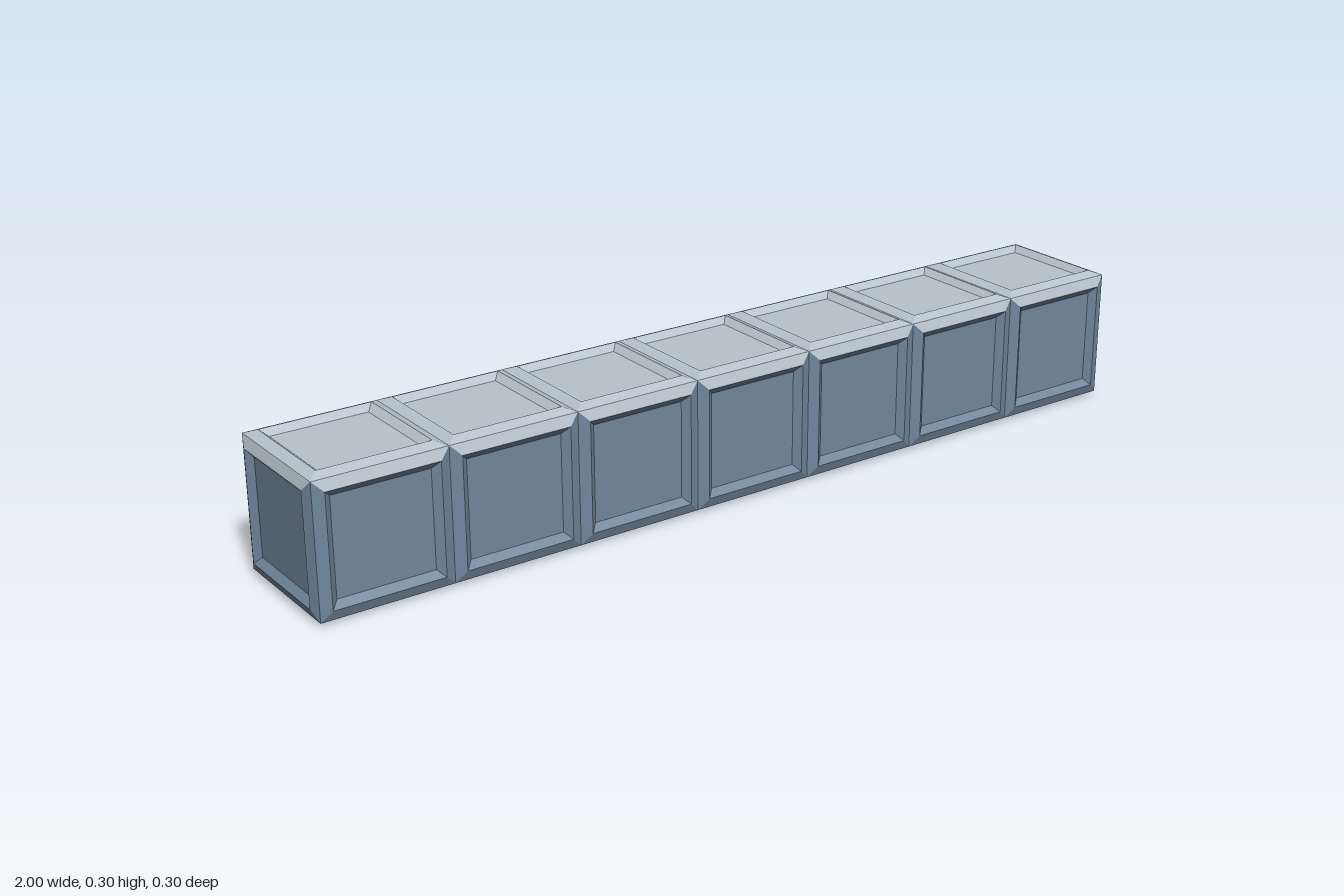
import * as THREE from 'three';

const CELLS = 7;
const HALF = 0.1415;          // half the cell size, measured to its edges
const CENTER_Y = 0.1505;
// nested square outlines of one face: [half width, distance from cell centre]
const RINGS = [[HALF, HALF], [0.119, 0.1505], [0.104, 0.1375]];

const corners = ([h, z]) => [[-h, -h, z], [h, -h, z], [h, h, z], [-h, h, z]];

// one framed, recessed face looking along +z; group 1 is the upper outer bevel
function faceGeometry() {
  const positions = [];
  const quad = (a, b, c, d) => positions.push(...a, ...b, ...c, ...a, ...c, ...d);
  const geometry = new THREE.BufferGeometry();
  const rings = RINGS.map(corners);
  for (let r = 0; r < 2; r++) {
    for (let i = 0; i < 4; i++) {
      const j = (i + 1) % 4;
      geometry.addGroup(positions.length / 3, 6, r === 0 && i === 2 ? 1 : 0);
      quad(rings[r][i], rings[r][j], rings[r + 1][j], rings[r + 1][i]);
    }
  }
  geometry.addGroup(positions.length / 3, 6, 0);
  quad(...rings[2]);
  geometry.setAttribute('position', new THREE.Float32BufferAttribute(positions, 3));
  geometry.computeVertexNormals();
  return geometry;
}

export function createModel() {
  const model = new THREE.Group();
  model.name = 'segmentedBeam';

  const slate = new THREE.MeshStandardMaterial({ color: 0x71869c });
  slate.name = 'slateBlue';
  const pale = new THREE.MeshStandardMaterial({ color: 0xb6c2cc });
  pale.name = 'paleGrey';

  const geometry = faceGeometry();
  const addFace = (cell, name, rx, ry, materials) => {
    const mesh = new THREE.Mesh(geometry, materials);
    mesh.name = name;
    mesh.rotation.set(rx, ry, 0);
    cell.add(mesh);
  };

  for (let i = 0; i < CELLS; i++) {
    const cell = new THREE.Group();
    cell.name = `block${i + 1}`;
    cell.position.set((i - (CELLS - 1) / 2) * HALF * 2, CENTER_Y, 0);

    // side panels carry a pale upper bevel
    addFace(cell, 'frontPanel', 0, 0, [slate, pale]);
    addFace(cell, 'backPanel', 0, Math.PI, [slate, pale]);
    addFace(cell, 'topPanel', -Math.PI / 2, 0, [pale, pale]);
    addFace(cell, 'bottomPanel', Math.PI / 2, 0, [slate, slate]);

    // only the outermost blocks need end panels
    if (i === 0) addFace(cell, 'rightEndPanel', 0, -Math.PI / 2, [slate, pale]);
    if (i === CELLS - 1) addFace(cell, 'leftEndPanel', 0, Math.PI / 2, [slate, pale]);
    model.add(cell);
  }
  return model;
}
